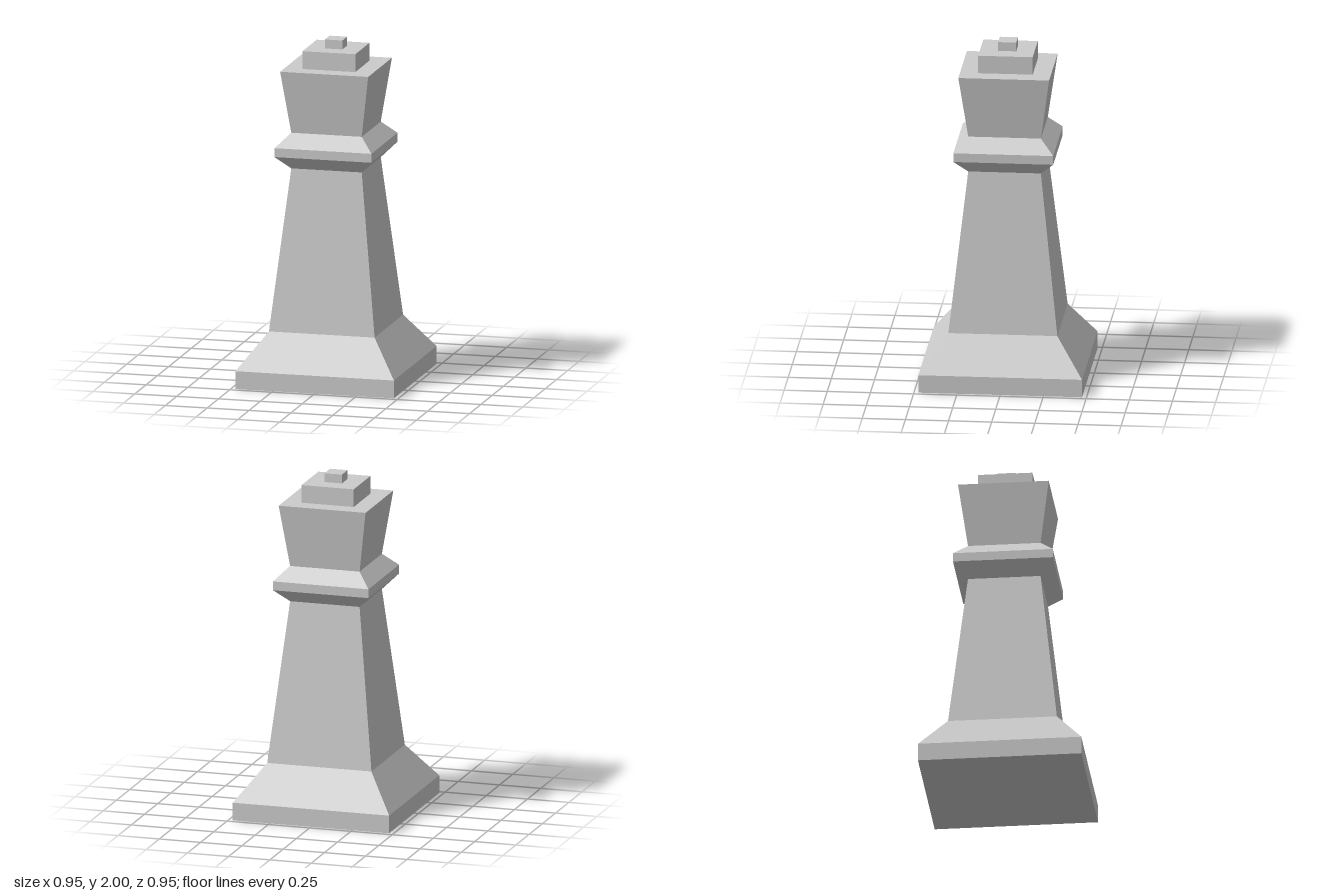
import * as THREE from 'three';

// Everything sits on a grid of 38 steps over the full height of 2.
const U = 2 / 38;

// Each part is a [half width, height] profile, bottom to top, swept into a square.
const PARTS = {
  foot: [[0, 0], [9, 0], [9, 2], [6, 6]],
  shaft: [[6, 6], [4, 24]],
  collar: [[4, 24], [5.5, 25.5], [5.5, 26.5], [4, 28]],
  crown: [[4, 28], [5, 35], [3, 35]],
  crownStep: [[3, 35], [3, 37], [1, 37]],
  finial: [[1, 37], [1, 38], [0, 38]],
};

function squareSweep(profile) {
  const points = profile.map(([w, y]) => new THREE.Vector2(w * U * Math.SQRT2, y * U));
  const geometry = new THREE.LatheGeometry(points, 4, Math.PI / 4).toNonIndexed();
  geometry.computeVertexNormals();
  return geometry;
}

export function createModel() {
  const group = new THREE.Group();
  group.name = 'chessKing';
  const material = new THREE.MeshStandardMaterial({ color: 0xcccccc, flatShading: true });
  for (const [name, profile] of Object.entries(PARTS)) {
    const mesh = new THREE.Mesh(squareSweep(profile), material);
    mesh.name = name;
    group.add(mesh);
  }
  return group;
}
